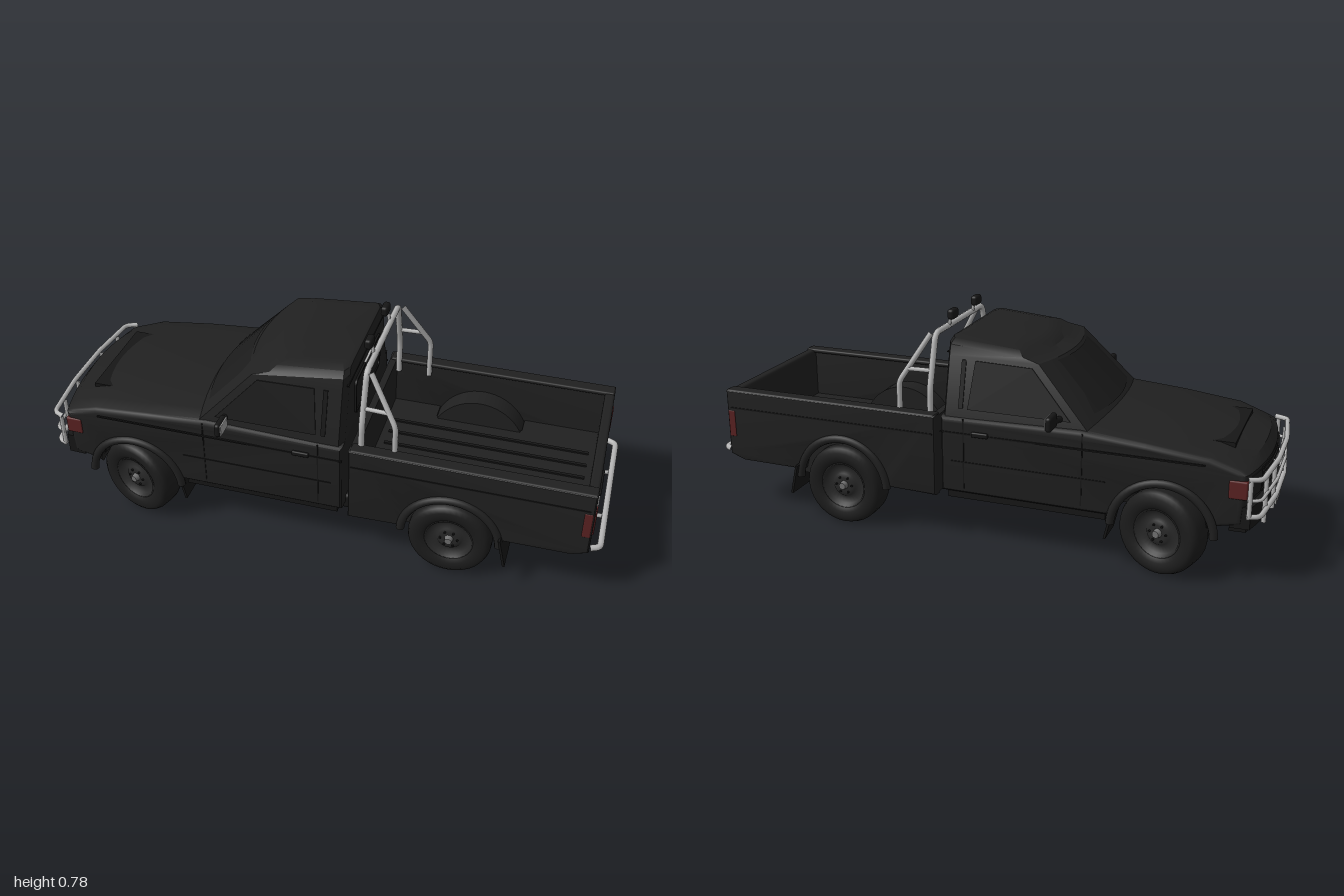
import * as THREE from 'three';
import { toCreasedNormals } from 'three/addons/utils/BufferGeometryUtils.js';
import { RoundedBoxGeometry } from 'three/addons/geometries/RoundedBoxGeometry.js';

const V = (x, y, z) => new THREE.Vector3(x, y, z);

function material(name, color, double) {
  const m = new THREE.MeshStandardMaterial({ color });
  m.name = name;
  if (double) m.side = THREE.DoubleSide;
  return m;
}

// Moves every vertex by a rule
function warp(geo, rule) {
  const p = geo.attributes.position, v = V(0, 0, 0);
  for (let i = 0; i < p.count; i++) {
    rule(v.fromBufferAttribute(p, i));
    p.setXYZ(i, v.x, v.y, v.z);
  }
  geo.computeVertexNormals();
  return geo;
}

// Bows the nose in plan and crowns the bonnet
function nose(v) {
  const w = THREE.MathUtils.clamp((-0.72 - v.x) / 0.22, 0, 1), q = (v.z / 0.3) ** 2;
  v.x += 0.04 * w * q;
  if (v.y > 0.39) v.y -= 0.02 * q;
  v.z *= 1 - 0.05 * w;
}

const outline = pts => new THREE.Shape(pts.map(p => new THREE.Vector2(p[0], p[1])));

// Front edge of the cab in plan at a given height
function cabFront(y, hz, push = 0) {
  const x0 = THREE.MathUtils.mapLinear(y, 0.46, 0.66, -0.405, -0.215) - push;
  const pts = [];
  for (let i = 0; i <= 10; i++) {
    const t = -1 + i / 5;
    pts.push(V(x0 - 0.05 * (1 - t * t), y, hz * t));
  }
  return pts;
}

// Joins equal-length cross-sections into a skin
function skin(rings, closed) {
  const n = rings[0].length, index = [];
  for (let r = 0; r < rings.length - 1; r++)
    for (let i = 0; i < (closed ? n : n - 1); i++) {
      const a = r * n + i, b = r * n + (i + 1) % n;
      index.push(a, b, a + n, b, b + n, a + n);
    }
  if (closed) for (let i = 1; i < n - 1; i++) index.push((rings.length - 1) * n, (rings.length - 1) * n + i, (rings.length - 1) * n + i + 1);
  const g = new THREE.BufferGeometry().setFromPoints(rings.flat());
  g.setIndex(index);
  g.computeVertexNormals();
  return toCreasedNormals(g, 0.5);
}

export function createModel() {
  const truck = new THREE.Group();
  truck.name = 'pickupTruck';
  const paint = material('black paint', 0x202020, true);
  const trim = material('dark trim', 0x161616, true);
  const glass = material('tinted glass', 0x1b1b1b, true);
  const rubber = material('tyre rubber', 0x1c1c1c);
  const rim = material('wheel steel', 0x282828);
  const chrome = material('chrome', 0xb4b4b4);
  const silver = material('mirror and plate grey', 0x9c9c9c);
  const red = material('lamp red', 0x5a2222);
  const iron = material('underbody metal', 0x707070);

  const add = (name, geo, mat, x = 0, y = 0, z = 0, parent = truck) => {
    const m = new THREE.Mesh(geo, mat);
    m.name = name;
    m.position.set(x, y, z);
    parent.add(m);
    return m;
  };
  const box = (name, mat, w, h, d, x, y, z) => add(name, new THREE.BoxGeometry(w, h, d), mat, x, y, z);
  const soft = (name, mat, w, h, d, x, y, z, r = 0.008) => add(name, new RoundedBoxGeometry(w, h, d, 3, r), mat, x, y, z);
  const bent = (name, mat, w, h, d, x, y, z) =>
    add(name, toCreasedNormals(warp(new THREE.BoxGeometry(w, h, d, 1, 1, 12).translate(x, y, z), nose), 0.5), mat);
  const tube = (name, pts, r, mat, round = 0.03) => {
    // Straight runs joined by rounded corners
    const path = new THREE.CurvePath();
    let last = pts[0];
    for (let i = 1; i < pts.length; i++) {
      if (i === pts.length - 1) { path.add(new THREE.LineCurve3(last, pts[i])); break; }
      const a = pts[i].clone().add(pts[i - 1].clone().sub(pts[i]).setLength(round));
      const b = pts[i].clone().add(pts[i + 1].clone().sub(pts[i]).setLength(round));
      path.add(new THREE.LineCurve3(last, a));
      path.add(new THREE.QuadraticBezierCurve3(a, pts[i], b));
      last = b;
    }
    return add(name, new THREE.TubeGeometry(path, pts.length > 2 ? 70 : 2, r, 10), mat);
  };
  const panel = (shape, depth, z, bevel, steps) => new THREE.ExtrudeGeometry(shape, {
    depth: depth - 2 * bevel, steps, curveSegments: 20, bevelEnabled: bevel > 0,
    bevelSize: bevel, bevelThickness: bevel, bevelOffset: -bevel, bevelSegments: 3,
  }).translate(0, 0, z + bevel);

  // Lower front body with wheel arches
  const front = outline([[0.11, 0.185], [0.11, 0.475], [-0.38, 0.485], [-0.6, 0.467], [-0.82, 0.445], [-0.94, 0.412],
    [-0.965, 0.38], [-0.955, 0.21], [-0.83, 0.19]]);
  front.absarc(-0.66, 0.15, 0.165, Math.PI - 0.2, 0.2, true);
  add('frontBody', toCreasedNormals(warp(panel(front, 0.632, -0.316, 0.016, 12), nose), 0.5), paint);
  box('engineBay', trim, 0.4, 0.26, 0.36, -0.66, 0.31, 0);

  // Cab with rounded roof
  const cabRing = (y, hz, back, tilt, push = 0) => {
    const ring = [V(back - 0.015, y, hz), V(back, y, hz - 0.03), V(back, y, 0.03 - hz), V(back - 0.015, y, -hz), ...cabFront(y, hz, push)];
    ring.forEach(p => { p.y += tilt * (p.x - 0.1); });
    return ring;
  };
  add('cab', skin([cabRing(0.455, 0.305, 0.11, 0), cabRing(0.655, 0.256, 0.11, 0), cabRing(0.69, 0.245, 0.11, 0.08, -0.025),
    cabRing(0.707, 0.222, 0.105, 0.085, -0.03), cabRing(0.714, 0.18, 0.09, 0.085, -0.06)].map(r => r.reverse()), true), paint);
  add('windscreen', skin([cabFront(0.492, 0.275, 0.004), cabFront(0.648, 0.237, 0.004)], false), glass);

  // Rear window with frame
  const pane = (w, h, r) => {
    const s = new THREE.Shape();
    s.moveTo(-w + r, -h);
    [[w, -h, w, -h + r], [w, h, w - r, h], [-w, h, -w, h - r], [-w, -h, -w + r, -h]].forEach(([cx, cy, ex, ey], i) => {
      s.lineTo(i === 0 ? w - r : i === 2 ? -w + r : cx, i === 1 ? h - r : i === 3 ? -h + r : cy);
      s.quadraticCurveTo(cx, cy, ex, ey);
    });
    return s;
  };
  const frame = pane(0.162, 0.069, 0.025);
  frame.holes.push(pane(0.154, 0.061, 0.02));
  add('rearWindowFrame', panel(frame, 0.009, 0, 0).rotateY(Math.PI / 2), trim, 0.108, 0.558, 0);
  add('rearWindow', panel(pane(0.155, 0.062, 0.02), 0.005, 0, 0).rotateY(Math.PI / 2), glass, 0.108, 0.558, 0);
  box('rearWindowDivider', trim, 0.009, 0.124, 0.007, 0.112, 0.558, 0);
  box('cabBackStrip', chrome, 0.009, 0.006, 0.08, 0.113, 0.625, 0);
  box('roofSeam', trim, 0.006, 0.004, 0.48, 0.109, 0.66, 0);

  // Nose: grille, lamps and bumper
  bent('grille', trim, 0.02, 0.085, 0.37, -0.958, 0.328, 0);
  for (let i = 0; i < 4; i++) bent('grilleBar', paint, 0.02, 0.006, 0.37, -0.962, 0.298 + i * 0.02, 0);
  bent('frontBumper', trim, 0.07, 0.075, 0.62, -0.945, 0.235, 0);
  bent('frontApron', trim, 0.06, 0.04, 0.52, -0.92, 0.185, 0);
  box('frontPlate', silver, 0.008, 0.04, 0.11, -0.985, 0.215, 0);

  // Load bed
  const floorY = 0.25;
  box('bedFloor', paint, 0.82, 0.02, 0.42, 0.54, floorY, 0);
  box('bedHeadboard', paint, 0.025, 0.28, 0.6, 0.143, 0.305, 0);
  soft('tailgate', paint, 0.035, 0.235, 0.61, 0.938, 0.33, 0, 0.01);
  box('rearValance', paint, 0.025, 0.03, 0.58, 0.94, 0.212, 0);
  box('tailgateSeam', trim, 0.004, 0.006, 0.54, 0.956, 0.265, 0);
  soft('tailgateHandle', trim, 0.016, 0.018, 0.125, 0.955, 0.37, 0.14, 0.006);
  box('rearPlate', silver, 0.008, 0.055, 0.11, 0.957, 0.322, 0.14);
  for (const z of [-0.14, -0.07, 0, 0.07, 0.14]) box('bedRib', trim, 0.72, 0.008, 0.012, 0.54, floorY + 0.012, z);

  const bedSide = outline([[0.955, 0.205], [0.955, 0.45], [0.13, 0.45], [0.13, 0.16], [0.3, 0.165]]);
  bedSide.absarc(0.49, 0.15, 0.165, Math.PI - 0.1, 0.2, true);
  bedSide.lineTo(0.9, 0.185);

  for (const s of [-1, 1]) {
    add('bedSide', toCreasedNormals(panel(bedSide, 0.04, s > 0 ? 0.276 : -0.316, 0.01, 1), 0.5), paint);
    soft('bedRail', paint, 0.82, 0.016, 0.05, 0.545, 0.444, s * 0.288, 0.007);
    box('bedFloorFront', paint, 0.19, 0.02, 0.09, 0.235, floorY, s * 0.24);
    box('bedFloorRear', paint, 0.28, 0.02, 0.09, 0.79, floorY, s * 0.24);
    // Inner wheel housings
    const well = new THREE.CylinderGeometry(0.18, 0.18, 0.085, 28, 1, false, Math.PI / 2, Math.PI).rotateX(Math.PI / 2);
    add('bedWheelHousing', well.scale(1, 1.1, 1), paint, 0.49, 0.16, s * 0.24);
    for (const x of [-0.66, 0.49])
      add('wheelFlare', new THREE.TorusGeometry(0.171, 0.015, 8, 28, Math.PI - 0.1).rotateZ(0.05), paint, x, 0.15, s * 0.315);

    // Doors, windows and side trim
    const tilt = v => { v.z = s * (0.3065 - (v.y - 0.46) * 0.25 + v.z); };
    const sideGlass = outline([[-0.345, 0.485], [-0.2, 0.64], [0.0, 0.645], [0.015, 0.485]]);
    add('sideWindow', toCreasedNormals(warp(panel(sideGlass, 0.003, 0, 0), tilt), 0.4), glass);
    const vent = outline([[0.032, 0.485], [0.032, 0.645], [0.048, 0.645], [0.048, 0.485]]);
    add('pillarTrim', toCreasedNormals(warp(panel(vent, 0.003, 0, 0), tilt), 0.4), trim);
    for (const x of [-0.39, 0.025]) box('doorSeam', trim, 0.004, 0.25, 0.004, x, 0.33, s * 0.316);
    box('sideCrease', trim, 0.9, 0.005, 0.006, -0.34, 0.402, s * 0.316);
    box('lowerCrease', trim, 0.54, 0.004, 0.005, -0.2, 0.3, s * 0.316);
    box('bedCrease', trim, 0.8, 0.005, 0.005, 0.54, 0.385, s * 0.316);
    soft('doorHandle', trim, 0.06, 0.018, 0.014, -0.035, 0.405, s * 0.318, 0.005);

    // Mirrors
    tube('mirrorArm', [V(-0.31, 0.49, s * 0.29), V(-0.3, 0.497, s * 0.345)], 0.011, trim);
    soft('mirrorHousing', trim, 0.022, 0.05, 0.072, -0.3, 0.5, s * 0.363, 0.01);
    soft('mirrorGlass', silver, 0.006, 0.041, 0.062, -0.289, 0.5, s * 0.363, 0.0028);

    // Lamps
    bent('headlamp', glass, 0.02, 0.075, 0.085, -0.957, 0.33, s * 0.235);
    soft('frontIndicator', red, 0.06, 0.062, 0.03, -0.895, 0.33, s * 0.291, 0.006);
    soft('tailLamp', red, 0.024, 0.1, 0.034, 0.948, 0.325, s * 0.283, 0.004);
    soft('tailLampSide', red, 0.028, 0.1, 0.01, 0.936, 0.325, s * 0.313, 0.004);

    // Mud flaps
    const flapF = box('frontMudFlap', trim, 0.008, 0.1, 0.11, -0.485, 0.15, s * 0.265);
    const flapR = box('rearMudFlap', trim, 0.008, 0.11, 0.13, 0.675, 0.152, s * 0.278);
    flapF.rotation.z = flapR.rotation.z = 0.22;

    // Roll bar side braces and lamps
    tube('rollBarBrace', [V(0.18, 0.712, s * 0.215), V(0.28, 0.545, s * 0.268), V(0.28, 0.4, s * 0.268)], 0.01, chrome, 0.02);
    tube('rollBarRung', [V(0.165, 0.59, s * 0.25), V(0.255, 0.59, s * 0.255)], 0.008, chrome);
    tube('roofLampStem', [V(0.16, 0.71, s * 0.107), V(0.155, 0.745, s * 0.107)], 0.006, chrome);
    soft('roofLamp', trim, 0.026, 0.036, 0.052, 0.145, 0.758, s * 0.107, 0.01);

    // Bull bar uprights and rear bumper brackets
    for (const z of [0.1, 0.22])
      tube('bullBarUpright', [V(-0.988 + z * 0.08, 0.375, s * z), V(-0.988 + z * 0.08, 0.2, s * z)], 0.008, chrome);
    tube('rearBumperBracket', [V(0.86, 0.19, s * 0.12), V(0.985, 0.212, s * 0.12)], 0.008, silver);

    // Chassis rails and leaf springs
    box('chassisRail', trim, 1.75, 0.045, 0.035, 0.0, 0.195, s * 0.14);
    tube('leafSpring', [V(0.25, 0.2, s * 0.175), V(0.49, 0.135, s * 0.175), V(0.75, 0.2, s * 0.175)], 0.012, trim, 0.1);
    box('sill', trim, 0.56, 0.03, 0.03, -0.19, 0.175, s * 0.285);
  }

  // Roll bar hoop
  tube('rollBarHoop', [V(0.165, 0.4, 0.268), V(0.165, 0.53, 0.268), V(0.165, 0.713, 0.213), V(0.165, 0.713, -0.213),
    V(0.165, 0.53, -0.268), V(0.165, 0.4, -0.268)], 0.011, chrome, 0.025);

  // Bull bar and rear bumper tubes
  for (const y of [0.375, 0.305, 0.25])
    tube('bullBarTube', [V(-0.925, y, 0.318), V(-0.968, y, 0.3), V(-0.99, y, 0.1), V(-0.99, y, -0.1), V(-0.968, y, -0.3),
      V(-0.925, y, -0.318)], y === 0.305 ? 0.006 : 0.009, chrome, 0.02);
  for (const s of [-1, 1]) tube('bullBarEnd', [V(-0.935, 0.375, s * 0.316), V(-0.935, 0.25, s * 0.316)], 0.008, chrome);
  tube('rearBumperTube', [V(0.955, 0.217, 0.3), V(0.989, 0.217, 0.285), V(0.989, 0.217, -0.285), V(0.955, 0.217, -0.3)], 0.011, chrome, 0.015);

  // Underbody: axles, drive line and exhaust
  for (const x of [-0.42, -0.1, 0.2, 0.72, 0.87]) box('crossMember', trim, 0.04, 0.03, 0.3, x, 0.195, 0);
  for (const x of [-0.66, 0.49]) tube('axle', [V(x, 0.145, -0.26), V(x, 0.145, 0.26)], 0.018, trim);
  add('differential', new THREE.SphereGeometry(0.042, 20, 14), trim, 0.49, 0.152, 0);
  tube('driveShaft', [V(-0.25, 0.165, 0), V(0.49, 0.152, 0)], 0.013, trim);
  soft('gearbox', trim, 0.34, 0.08, 0.12, -0.35, 0.18, 0, 0.02);
  soft('transferCase', trim, 0.05, 0.06, 0.09, -0.24, 0.145, 0.03, 0.01);
  soft('fuelTank', trim, 0.3, 0.06, 0.1, -0.02, 0.18, 0.215, 0.015);
  tube('exhaustPipe', [V(-0.5, 0.18, -0.08), V(-0.1, 0.175, -0.1), V(0.35, 0.19, -0.1), V(0.62, 0.21, -0.1), V(0.72, 0.187, -0.17),
    V(0.92, 0.187, -0.175)], 0.009, iron);
  add('muffler', new THREE.CylinderGeometry(0.028, 0.028, 0.2, 18).rotateZ(Math.PI / 2), silver, 0.14, 0.175, -0.1);
  for (const z of [-0.16, -0.19])
    add('exhaustTip', new THREE.CylinderGeometry(0.013, 0.013, 0.07, 14, 1, true).rotateZ(Math.PI / 2), trim, 0.9, 0.187, z);

  // Wheels, with the front pair steered
  const tyre = new THREE.LatheGeometry([[0.085, -0.045], [0.1, -0.054], [0.125, -0.055], [0.139, -0.045], [0.145, -0.03], [0.146, 0],
    [0.145, 0.03], [0.139, 0.045], [0.125, 0.055], [0.1, 0.054], [0.085, 0.045]].map(p => new THREE.Vector2(...p)), 40).rotateX(Math.PI / 2);
  const disc = new THREE.LatheGeometry([[0.088, -0.03], [0.088, 0.044], [0.08, 0.046], [0.074, 0.03], [0.05, 0.026], [0.042, 0.036],
    [0.026, 0.038], [0, 0.038]].map(p => new THREE.Vector2(...p)), 32).rotateX(Math.PI / 2);
  for (const x of [-0.66, 0.49]) for (const s of [-1, 1]) {
    const wheel = new THREE.Group();
    wheel.name = x < 0 ? 'frontWheel' : 'rearWheel';
    wheel.position.set(x, 0.146, s * 0.272);
    wheel.rotation.y = (s < 0 ? Math.PI : 0) + (x < 0 ? -0.28 : 0);
    truck.add(wheel);
    add('tyre', tyre, rubber, 0, 0, 0, wheel);
    add('wheelDisc', disc, rim, 0, 0, 0, wheel);
    add('brakeDrum', new THREE.CylinderGeometry(0.087, 0.087, 0.05, 28).rotateX(Math.PI / 2), trim, 0, 0, -0.01, wheel);
    add('hubCap', new THREE.CylinderGeometry(0.012, 0.016, 0.02, 16).rotateX(Math.PI / 2), iron, 0, 0, 0.045, wheel);
    for (let i = 0; i < 6; i++) {
      const a = i * Math.PI / 3;
      add('wheelNut', new THREE.CylinderGeometry(0.004, 0.004, 0.008, 6).rotateX(Math.PI / 2), trim, 0.03 * Math.cos(a), 0.03 * Math.sin(a), 0.04, wheel);
    }
  }
  return truck;
}
